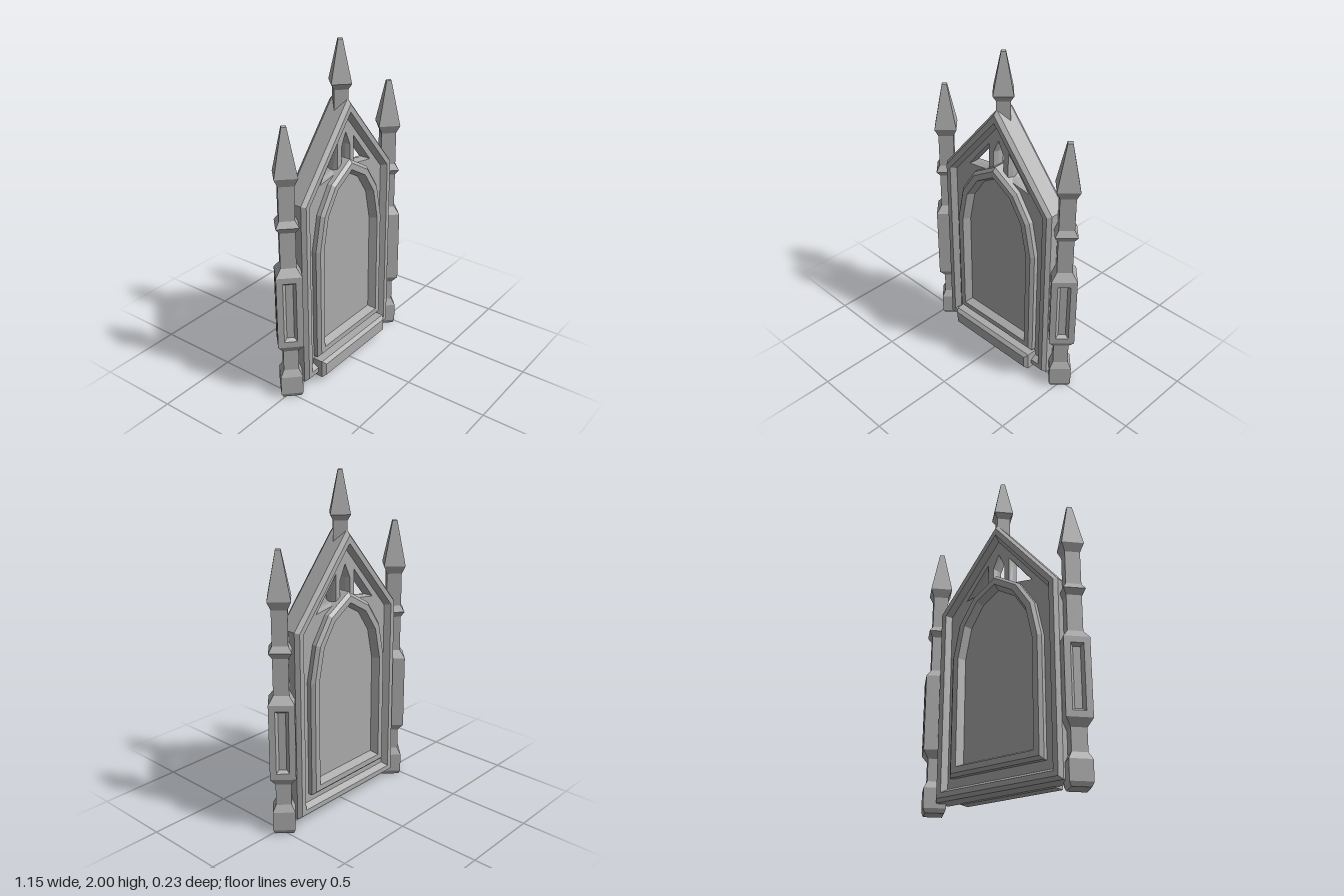
import * as THREE from 'three';

const stone = new THREE.MeshStandardMaterial({ color: 0xaaaaaa });
stone.name = 'grey stone';
const MID = -0.008; // depth of the centre plane

function mesh(name, geometry) {
  const g = geometry.index ? geometry.toNonIndexed() : geometry;
  g.computeVertexNormals(); // faceted
  const m = new THREE.Mesh(g, stone);
  m.name = name;
  return m;
}

// Mirror a half outline (right side, bottom to top) into a full loop
function mirrored(half, apex) {
  const left = half.map(([x, y]) => [-x, y]).reverse();
  return [...half, ...(apex ? [apex] : []), ...left];
}

// Move every edge of a counter-clockwise outline inwards by d
function inset(pts, d) {
  const n = pts.length;
  return pts.map(([x, y], i) => {
    const p = pts[(i + n - 1) % n], q = pts[(i + 1) % n];
    const a = new THREE.Vector2(x - p[0], y - p[1]).normalize();
    const b = new THREE.Vector2(q[0] - x, q[1] - y).normalize();
    const k = d / (1 + a.dot(b));
    return [x - (a.y + b.y) * k, y + (a.x + b.x) * k];
  });
}

// Sweep a section of [inset, z] pairs around an outline; optionally cap the last loop
function moulding(outline, section, { closed = false, cap = false } = {}) {
  const loops = section.map(([d, z]) => inset(outline, d).map(([x, y]) => [x, y, z]));
  const out = [], n = outline.length;
  const last = closed ? loops.length : loops.length - 1;
  for (let i = 0; i < last; i++) {
    const A = loops[i], B = loops[(i + 1) % loops.length];
    for (let j = 0; j < n; j++) {
      const k = (j + 1) % n;
      out.push(...A[j], ...A[k], ...B[k], ...A[j], ...B[k], ...B[j]);
    }
  }
  if (cap) {
    const L = loops[loops.length - 1];
    for (let j = 1; j < n - 1; j++) out.push(...L[0], ...L[j], ...L[j + 1]);
  }
  const g = new THREE.BufferGeometry();
  g.setAttribute('position', new THREE.Float32BufferAttribute(out, 3));
  return g;
}

// Make a front section symmetrical about z = 0 as a closed ring
function bothSides(front) {
  const back = front.map(([d, z]) => [d, -z]).reverse();
  return [...front, ...back];
}

// Square post set diagonally, from [radius, y] pairs
function diamondPost(name, profile, start = 0, sweep = Math.PI * 2) {
  const pts = profile.map(([r, y]) => new THREE.Vector2(r, y));
  const sides = Math.round(sweep / (Math.PI / 2));
  return mesh(name, new THREE.LatheGeometry(pts, sides, start, sweep));
}

function pinnacle() {
  const g = new THREE.Group();
  const R = 0.103, y0 = 0.355, y1 = 0.805;
  g.add(diamondPost('pinnacleBase', [
    [0, 0], [0.075, 0], [0.09, 0.025], [0.09, 0.14], [0.062, 0.18], [0.062, 0.31], [R, y0]]));
  g.add(diamondPost('pinnacleSpire', [
    [R, y1], [0.062, 0.85], [0.062, 1.065], [0.09, 1.1], [0.062, 1.135],
    [0.062, 1.335], [0.09, 1.385], [0.02, 1.65], [0, 1.65]]));
  // plain inner faces and two sunk outer panels
  g.add(diamondPost('pinnacleInnerFaces', [[R, y0], [R, y1]], Math.PI, Math.PI));
  const w = R / Math.SQRT2;
  for (const angle of [Math.PI / 4, Math.PI * 3 / 4]) {
    const rect = [[-w, y0], [w, y0], [w, y1], [-w, y1]];
    const panel = mesh('pinnaclePanel',
      moulding(rect, [[0, 0], [0.036, 0], [0.052, -0.02]], { cap: true }));
    panel.rotation.y = angle;
    panel.position.set(Math.sin(angle) * w, 0, Math.cos(angle) * w);
    g.add(panel);
  }
  return g;
}

export function createModel() {
  const model = new THREE.Group();
  model.name = 'gothicShrine';

  // Gabled outer frame
  const gable = mirrored([[0.415, 0.05], [0.415, 1.19]], [0, 1.68]);
  const frame = mesh('gableFrame', moulding(gable, bothSides(
    [[0, 0.05], [0.018, 0.073], [0.048, 0.073], [0.07, 0.036], [0.08, 0.036]]), { closed: true }));
  frame.position.z = MID;
  model.add(frame);

  // Back panel pierced by three tracery openings
  const toShape = (pts, C) => new C(pts.map(([x, y]) => new THREE.Vector2(x, y)));
  const panelShape = toShape(inset(gable, 0.05), THREE.Shape);
  const opening = [[-0.075, 1.27], [-0.075, 1.44], [-0.235, 1.245]];
  panelShape.holes.push(
    toShape(opening, THREE.Path),
    toShape(opening.map(([x, y]) => [-x, y]), THREE.Path),
    toShape(mirrored([[0.04, 1.295], [0.04, 1.4]], [0, 1.485]), THREE.Path));
  const panel = mesh('traceryPanel', new THREE.ExtrudeGeometry(panelShape, {
    depth: 0.02, bevelEnabled: true, bevelThickness: 0.028, bevelSize: 0.01, bevelSegments: 1 }));
  panel.position.z = MID - 0.01;
  model.add(panel);

  // Pointed arch moulding, raised on both faces
  const arch = mirrored([[0.31, 0.17], [0.31, 0.87], [0.265, 1.08], [0.165, 1.23]], [0, 1.33]);
  const archFrame = mesh('archFrame', moulding(arch, bothSides(
    [[0, 0.065], [0.018, 0.083], [0.052, 0.083], [0.073, 0.036]]), { closed: true }));
  archFrame.position.z = MID;
  model.add(archFrame);

  // Ledge at the foot of the front
  const ledge = [[-0.313, 0.043], [0.313, 0.043], [0.313, 0.153], [-0.313, 0.153]];
  model.add(mesh('frontLedge', moulding(ledge,
    [[0.1 / 2, 0.03], [0, 0.03], [0, 0.093], [0.018, 0.113]], { cap: true })));

  // Finial on the apex
  const finial = diamondPost('apexFinial', [
    [0, 1.6], [0.055, 1.6], [0.055, 1.73], [0.08, 1.765], [0.018, 2], [0, 2]]);
  finial.position.z = MID;
  model.add(finial);

  // Side pinnacles
  for (const side of [1, -1]) {
    const p = pinnacle();
    p.name = side > 0 ? 'leftPinnacle' : 'rightPinnacle';
    p.position.set(side * 0.474, 0, MID - 0.002);
    if (side < 0) p.rotation.y = Math.PI;
    model.add(p);
  }
  return model;
}
